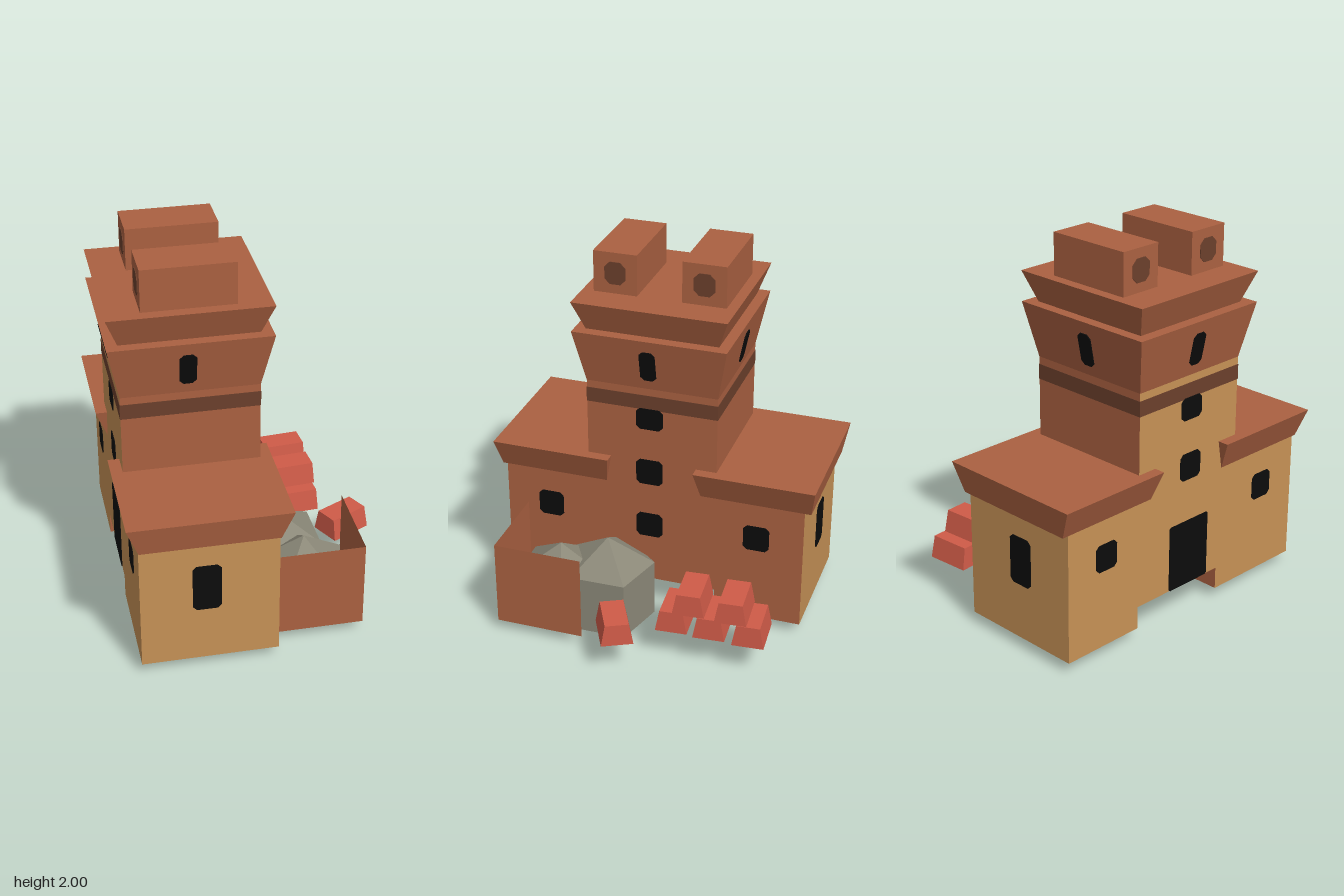
import * as THREE from 'three';

const mat = (name, color, side = THREE.FrontSide) => {
  const m = new THREE.MeshStandardMaterial({ color, side });
  m.name = name;
  return m;
};

export function createModel() {
  const root = new THREE.Group();
  root.name = 'tower';
  const clay = mat('clay brown', 0xab6141, THREE.DoubleSide);
  const tan = mat('sand tan', 0xc79256);
  const dark = mat('dark brown', 0x6c402c);
  const black = mat('opening black', 0x0c0c0c);
  const red = mat('brick red', 0xcf5b48);
  const stone = mat('stone grey', 0x8b8878, THREE.DoubleSide);

  const add = (name, geometry, material, parent = root) => {
    const m = new THREE.Mesh(geometry, material);
    m.name = name;
    parent.add(m);
    return m;
  };

  // Block between bounds; the top grows outward by fx, fz
  const block = (name, [x0, x1], [y0, y1], [z0, z1], material, fx = 0, fz = 0, parent = root) => {
    const g = new THREE.BoxGeometry(x1 - x0, y1 - y0, z1 - z0);
    const p = g.attributes.position;
    for (let i = 0; i < p.count; i++) {
      if (p.getY(i) < 0) continue;
      p.setX(i, p.getX(i) + Math.sign(p.getX(i)) * fx);
      p.setZ(i, p.getZ(i) + Math.sign(p.getZ(i)) * fz);
    }
    g.computeVertexNormals();
    const m = add(name, g, material, parent);
    m.position.set((x0 + x1) / 2, (y0 + y1) / 2, (z0 + z1) / 2);
    return m;
  };

  // Thin plate with clipped corners, facing yaw and leaning out by tilt
  const plate = (name, w, h, x, y, z, yaw, material = black, tilt = 0, c = 0.02) => {
    const a = w / 2, b = h / 2;
    const s = new THREE.Shape([
      [-a + c, -b], [a - c, -b], [a, -b + c], [a, b - c],
      [a - c, b], [-a + c, b], [-a, b - c], [-a, -b + c],
    ].map(([u, v]) => new THREE.Vector2(u, v)));
    const g = new THREE.ExtrudeGeometry(s, { depth: 0.006, bevelEnabled: false });
    g.translate(0, 0, -0.002);
    const m = add(name, g, material);
    m.rotation.order = 'YXZ';
    m.rotation.set(tilt, yaw, 0);
    m.position.set(x, y, z);
  };

  const X = [-0.66, 0.04], Z = [-0.345, 0.36];
  const cx = -0.31, cz = 0.02;
  const E = Math.PI / 2, N = Math.PI;

  // Tower shaft, band and flared upper storeys
  const towerSides = [clay, tan, clay, tan, clay, clay];
  block('towerShaft', X, [0.18, 1.33], Z, towerSides);
  block('towerBand', [X[0] - 0.002, X[1] + 0.002], [1.21, 1.29], [Z[0] - 0.002, Z[1] + 0.002], dark);
  block('upperStorey', X, [1.33, 1.62], Z, clay, 0.06, 0.057);
  block('towerRoof', X, [1.62, 1.78], Z, clay, 0.06, 0.057);

  // Roof blocks with a dark opening at both ends
  for (const z of [0.24, -0.23]) {
    block('roofBlock', [-0.545, -0.075], [1.78, 2], [z - 0.116, z + 0.116], clay);
    plate('roofBlockOpening', 0.112, 0.12, -0.075, 1.89, z, E, dark, 0, 0.028);
    plate('roofBlockOpening', 0.112, 0.12, -0.545, 1.89, z, -E, dark, 0, 0.028);
  }

  // Front and back wings with flared roofs
  block('frontWing', X, [0.06, 0.75], [0.24, 0.83], [clay, tan, clay, tan, tan, clay]);
  block('backWing', X, [0.06, 0.75], [-0.82, -0.345], [clay, tan, clay, tan, clay, tan]);
  block('frontWingRoof', X, [0.75, 0.905], [0.26, 0.854], clay, 0.06, 0.027);
  block('backWingRoof', X, [0.75, 0.905], [-0.854, -0.26], clay, 0.06, 0.027);
  plate('wingWindow', 0.145, 0.26, -0.325, 0.49, 0.83, 0);
  plate('wingWindow', 0.145, 0.26, -0.325, 0.49, -0.82, N);

  // Windows on both long sides, and the door
  for (const [x, yaw] of [[X[1], E], [X[0], -E]]) {
    plate('sideWindow', 0.14, 0.145, x, 0.55, 0.58, yaw);
    plate('sideWindow', 0.14, 0.145, x, 0.55, -0.567, yaw);
    plate('towerWindow', 0.145, 0.145, x, 0.842, cz, yaw);
    plate('towerWindow', 0.145, 0.12, x, 1.155, cz, yaw);
  }
  plate('towerWindow', 0.145, 0.14, X[1], 0.52, cz, E);
  plate('door', 0.28, 0.36, X[0], 0.36, cz, -E, black, 0, 0.008);

  // Narrow windows on the sloping upper storey
  const lean = 0.2, out = 0.029;
  plate('slitWindow', 0.085, 0.175, -0.325, 1.47, Z[1] + out, 0, black, lean);
  plate('slitWindow', 0.085, 0.175, -0.325, 1.47, Z[0] - out, N, black, lean);
  plate('slitWindow', 0.085, 0.175, X[1] + out, 1.47, cz, E, black, lean);
  plate('slitWindow', 0.085, 0.175, X[0] - out, 1.47, cz, -E, black, lean);

  // Open yard walls beside the front wing
  const frontWall = add('yardFrontWall', new THREE.PlaneGeometry(0.47, 0.47), clay);
  frontWall.position.set(0.275, 0.295, 0.716);
  const sideWall = add('yardSideWall', new THREE.PlaneGeometry(0.476, 0.47), clay);
  sideWall.rotation.y = E;
  sideWall.position.set(0.51, 0.295, 0.478);

  // Five-sided pointed stones, open underneath
  const rock = (name, ring, y0, y1, [ax, ay, az]) => {
    const pos = [];
    ring.forEach(([x, z], i) => {
      const [u, w] = ring[(i + 1) % ring.length];
      pos.push(x, y0, z, u, y0, w, u, y1, w, x, y0, z, u, y1, w, x, y1, z);
      pos.push(x, y1, z, u, y1, w, ax, ay, az);
    });
    const g = new THREE.BufferGeometry();
    g.setAttribute('position', new THREE.Float32BufferAttribute(pos, 3));
    g.computeVertexNormals();
    add(name, g, stone);
  };
  rock('tallRock', [[0.085, 0.465], [0.375, 0.35], [0.37, 0.052], [0.09, -0.025], [-0.105, 0.21]],
    0, 0.32, [0.157, 0.47, 0.215]);
  rock('yardRock', [[0.12, 0.652], [0.39, 0.652], [0.477, 0.362], [0.25, 0.22], [0.03, 0.38]],
    0.06, 0.3, [0.255, 0.45, 0.445]);

  // Tapered bricks: a two-row stack and one loose brick
  const brick = (x, y, z, yaw) => {
    const m = block('brick', [-0.118, 0.118], [0, 0.118], [-0.084, 0.084], red, -0.006, -0.022);
    m.position.set(x, y + 0.059, z);
    m.rotation.y = yaw;
  };
  for (const z of [-0.235, -0.437, -0.645]) brick(0.366, 0.18, z, 0.08);
  for (const z of [-0.325, -0.55]) brick(0.364, 0.298, z, 0.08);
  brick(0.572, 0.18, 0.032, 0.47);

  return root;
}
